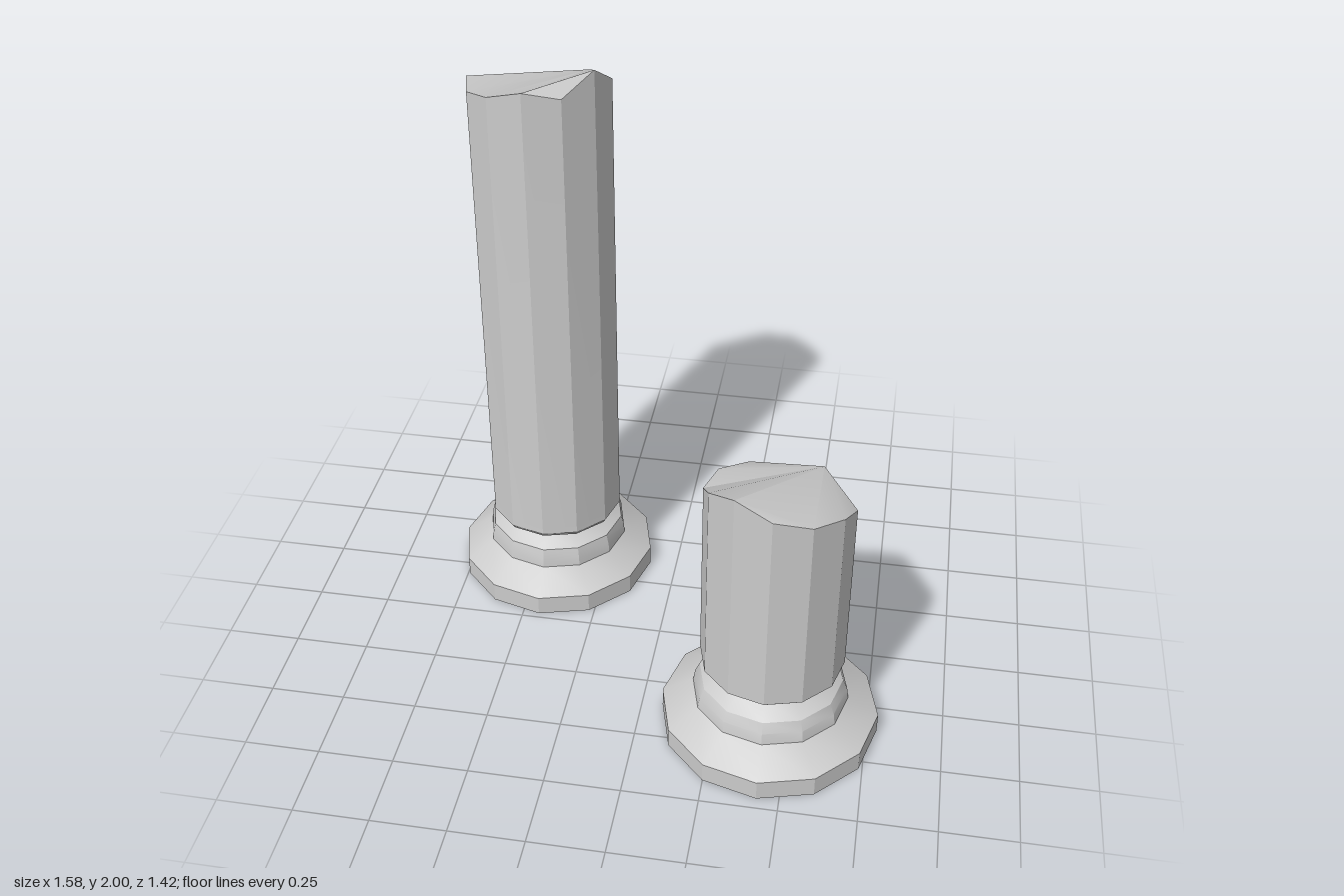
import * as THREE from 'three';
import { toCreasedNormals } from 'three/addons/utils/BufferGeometryUtils.js';

const SIDES = 12;
const material = new THREE.MeshStandardMaterial({ color: 0xcccccc, side: THREE.DoubleSide });

function addMesh(group, name, geometry) {
  const mesh = new THREE.Mesh(toCreasedNormals(geometry, 0.5), material);
  mesh.name = name;
  group.add(mesh);
}

function lathe(profile) {
  return new THREE.LatheGeometry(profile.map(([r, y]) => new THREE.Vector2(r, y)), SIDES);
}

// heights[k] is the broken rim height at angle k * 30 degrees, from +x towards +z
function brokenColumn({ name, x, z, base, shaft, heights, notch }) {
  const column = new THREE.Group();
  column.name = name;
  column.position.set(x, 0, z);

  // Hollow moulded foot, open underneath
  addMesh(column, 'base', lathe(base));

  // Shaft: the top ring follows the jagged break
  const shaftGeometry = lathe([...shaft, [shaft.at(-1)[0], 1]]);
  const pos = shaftGeometry.attributes.position;
  const rows = shaft.length + 1;
  for (let i = 0; i <= SIDES; i++) {
    const k = (3 - i + 2 * SIDES) % SIDES;
    pos.setY(i * rows + rows - 1, heights[k]);
  }
  addMesh(column, 'shaft', shaftGeometry);

  // Broken face: a fan from one rim corner plus one clipped notch
  const r = shaft.at(-1)[0];
  const rim = heights.map((y, k) => {
    const a = (k * Math.PI * 2) / SIDES;
    return [r * Math.cos(a), y, r * Math.sin(a)];
  });
  const apex = 10;
  const index = [notch + 1, notch, notch - 1];
  const loop = [];
  for (let i = 1; i < SIDES; i++) {
    const k = (apex + i) % SIDES;
    if (k !== notch) loop.push(k);
  }
  for (let i = 0; i < loop.length - 1; i++) index.push(apex, loop[i + 1], loop[i]);
  const cap = new THREE.BufferGeometry();
  cap.setAttribute('position', new THREE.Float32BufferAttribute(rim.flat(), 3));
  cap.setIndex(index);
  addMesh(column, 'brokenTop', cap);
  return column;
}

export function createModel() {
  const model = new THREE.Group();
  model.name = 'brokenColumns';

  model.add(brokenColumn({
    name: 'tallColumn', x: -0.443, z: -0.367,
    base: [[0.347, 0], [0.347, 0.07], [0.25, 0.135], [0.247, 0.17], [0.238, 0.205], [0.19, 0.237]],
    shaft: [[0.19, 0.237], [0.225, 0.26], [0.234, 0.275], [0.233, 0.3]],
    heights: [1.925, 2.0, 1.935, 1.96, 1.925, 1.9, 1.9, 1.79, 1.745, 1.825, 1.86, 1.875],
    notch: 2,
  }));

  model.add(brokenColumn({
    name: 'shortColumn', x: 0.428, z: 0.353,
    base: [[0.358, 0], [0.358, 0.07], [0.256, 0.135], [0.25, 0.175], [0.235, 0.21], [0.18, 0.25]],
    shaft: [[0.18, 0.25], [0.222, 0.277], [0.235, 0.29], [0.235, 0.32]],
    heights: [0.91, 0.965, 0.985, 1.015, 1.06, 1.01, 0.935, 0.925, 0.9, 0.88, 0.91, 0.845],
    notch: 3,
  }));

  return model;
}
